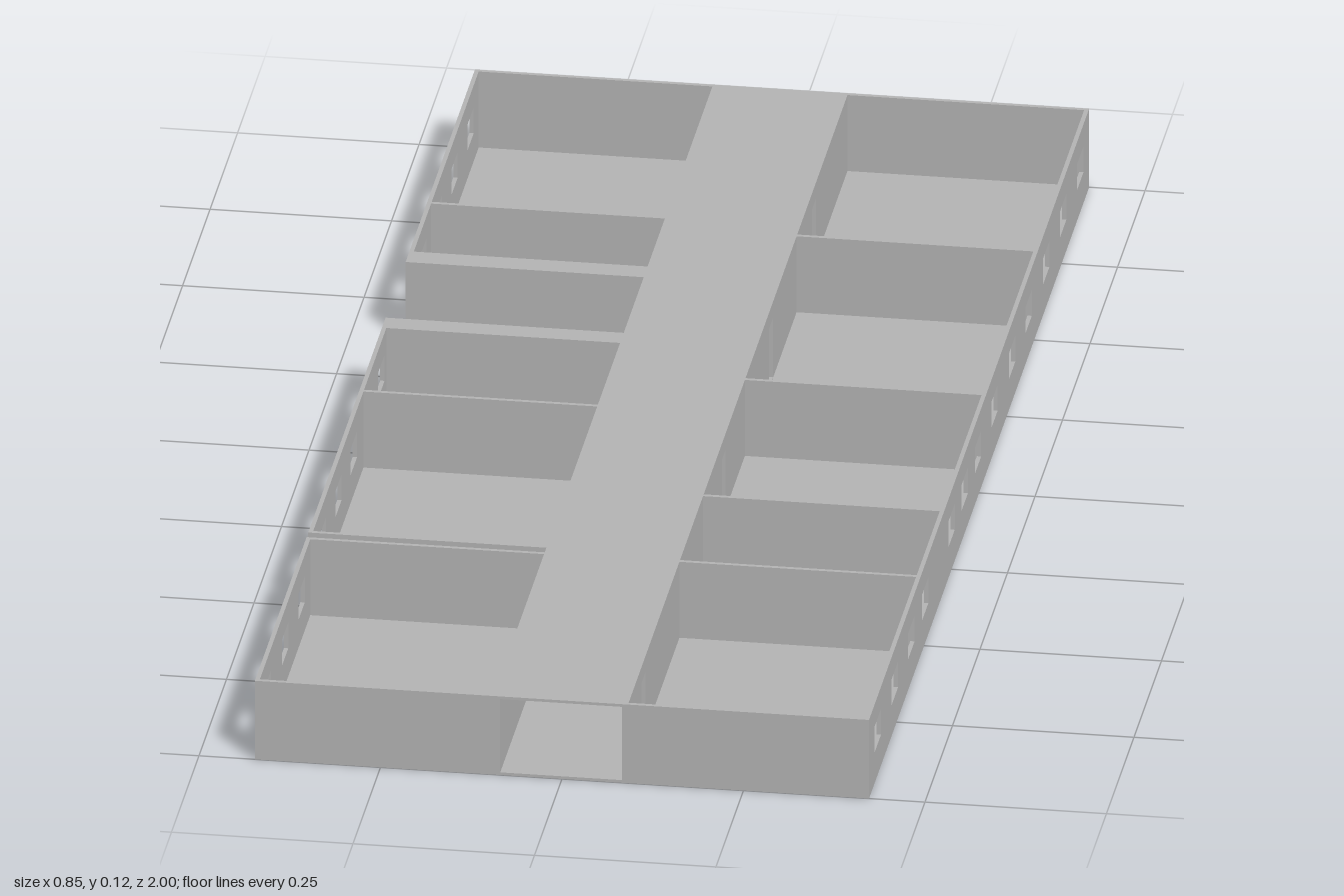
import * as THREE from 'three';

const H = 0.118;      // wall height
const X = 0.423;      // half width of the building
const T = 0.006;      // wall thickness
const FLOOR = 0.004;
const CL = -0.095, CR = 0.091; // outer faces of the corridor

export function createModel() {
  const group = new THREE.Group();
  const concrete = new THREE.MeshStandardMaterial({ color: 0xb3b3b3 });
  concrete.name = 'concrete grey';

  function add(name, geometry) {
    const mesh = new THREE.Mesh(geometry, concrete);
    mesh.name = name;
    group.add(mesh);
    return mesh;
  }

  // Box given by its limits
  function block(name, x0, x1, y0, y1, z0, z1) {
    add(name, new THREE.BoxGeometry(x1 - x0, y1 - y0, z1 - z0))
      .position.set((x0 + x1) / 2, (y0 + y1) / 2, (z0 + z1) / 2);
  }

  // Wall running along z, pierced by equal rectangular openings
  function longWall(name, x0, x1, z0, z1, centres, width, y0, y1) {
    const shape = new THREE.Shape([
      new THREE.Vector2(z0, 0), new THREE.Vector2(z1, 0),
      new THREE.Vector2(z1, H), new THREE.Vector2(z0, H),
    ]);
    for (const c of centres.filter((c) => c > z0 && c < z1)) {
      const a = c - width / 2, b = c + width / 2;
      shape.holes.push(new THREE.Path([
        new THREE.Vector2(a, y0), new THREE.Vector2(a, y1),
        new THREE.Vector2(b, y1), new THREE.Vector2(b, y0),
      ]));
    }
    const geometry = new THREE.ExtrudeGeometry(shape, { depth: x1 - x0, bevelEnabled: false });
    geometry.rotateY(-Math.PI / 2);
    add(name, geometry).position.x = x1;
  }

  // Left wing (+x), one unbroken block
  const leftWindows = [0.92, 0.765, 0.615, 0.49, 0.25, 0.13, 0.01, -0.14, -0.3, -0.45, -0.61, -0.765, -0.92];
  longWall('leftOuterWall', X - T, X, -1, 1, leftWindows, 0.058, 0.046, 0.085);
  block('leftFloor', CR, X - T, 0, FLOOR, -1, 1);
  for (const z of [-0.535, -0.065, 0.315, 0.53])
    block('leftPartition', CR, X - T, FLOOR, H, z - T / 2, z + T / 2);
  block('leftFrontWall', CR, X - T, FLOOR, H, 1 - T, 1);
  block('leftBackWall', CR, X - T, FLOOR, H, -1, -1 + T);

  // Right wing (-x), three blocks parted by an entrance court and a narrow joint
  const rightWindows = [0.92, 0.765, 0.615, 0.42, 0.28, 0.14, -0.11, -0.49, -0.63, -0.775, -0.92];
  for (const [z0, z1] of [[-1, -0.37], [-0.188, 0.515], [0.53, 1]]) {
    longWall('rightOuterWall', -X, -X + T, z0, z1, rightWindows, 0.058, 0.046, 0.085);
    block('rightFloor', -X + T, CL, 0, FLOOR, z0, z1);
  }
  // Thick walls beside the court, then the thin end walls and partitions
  const rightWalls = [
    [-0.405, -0.37], [-0.188, -0.155],
    [-1, -1 + T], [-0.568, -0.562], [0.047, 0.053],
    [0.515 - T, 0.515], [0.53, 0.53 + T], [1 - T, 1],
  ];
  for (const [z0, z1] of rightWalls)
    block('rightCrossWall', -X + T, CL, FLOOR, H, z0, z1);

  // Corridor: walls with doorways, floor, roof and closed back end
  const door = [0.034, 0.005, 0.094];
  longWall('corridorLeftWall', CR - 0.008, CR, -1, 1, [0.86, 0.49, 0.13, -0.3, -0.69], ...door);
  for (const [z0, z1] of [[-1, -0.37], [-0.188, 1]])
    longWall('corridorRightWall', CL, CL + 0.01, z0, z1, [-0.857, -0.485, -0.05, 0.315, 0.747], ...door);
  block('corridorFloor', CL + 0.01, CR - 0.008, 0, FLOOR, -1, 1);
  block('corridorRoof', CL + 0.01, CR - 0.008, H - 0.004, H, -1, 1);
  block('entranceLintel', CL, CL + 0.01, H - 0.004, H, -0.37, -0.188);
  block('entranceSill', CL, CL + 0.01, 0, FLOOR, -0.37, -0.188);
  block('corridorBackWall', CL + 0.01, CR - 0.008, FLOOR, H - 0.004, -1, -1 + T);

  return group;
}
